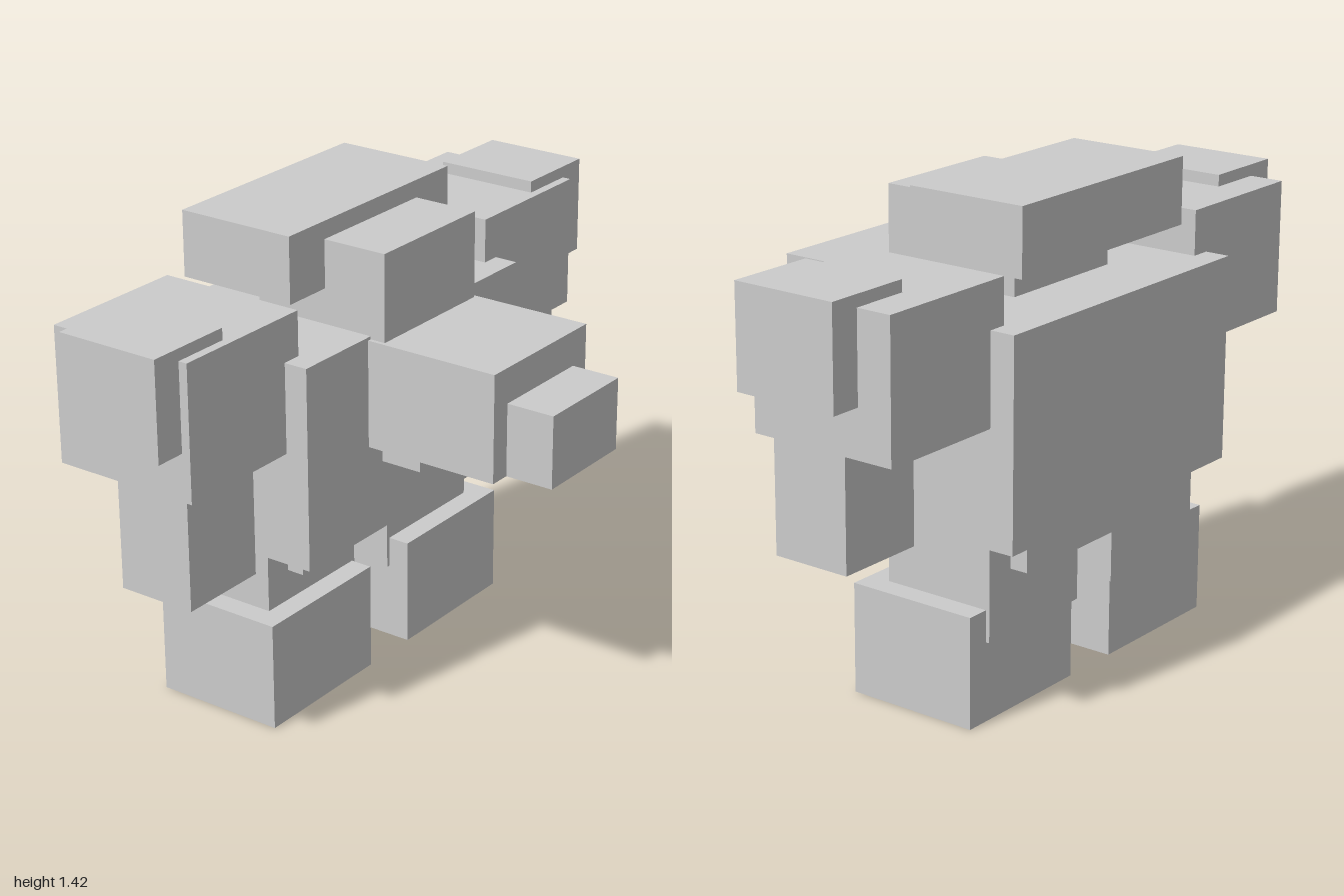
import * as THREE from 'three';

const material = new THREE.MeshStandardMaterial({ color: 0xcccccc, flatShading: true });

// Block given by its extents on each axis
function block(name, [x0, x1], [y0, y1], [z0, z1]) {
  const mesh = new THREE.Mesh(new THREE.BoxGeometry(x1 - x0, y1 - y0, z1 - z0), material);
  mesh.position.set((x0 + x1) / 2, (y0 + y1) / 2, (z0 + z1) / 2);
  mesh.name = name;
  return mesh;
}

export function createModel() {
  const model = new THREE.Group();
  model.name = 'blockFigure';

  // Body and head
  model.add(
    block('torso', [-0.507, 0.503], [0.51, 1.117], [-0.587, 0.02]),
    block('pelvis', [-0.395, 0.392], [0.42, 0.6], [-0.552, -0.093]),
    block('head', [-0.218, 0.215], [1.1, 1.367], [-0.37, 0.068]),
    block('headCrest', [-0.374, 0.37], [1.223, 1.42], [-0.511, -0.136]),
  );

  // Chest projection
  model.add(
    block('chestBlock', [-0.23, 0.226], [0.787, 1.108], [-0.02, 0.44]),
    block('chestTip', [-0.166, 0.162], [0.787, 1.003], [0.3, 0.588]),
    block('chestSupport', [-0.166, 0.162], [0.72, 0.9], [-0.05, 0.15]),
  );

  // Arms and legs, mirrored
  for (const side of [1, -1]) {
    const limb = (name, x, y, z) =>
      block((side > 0 ? 'left' : 'right') + name, side > 0 ? x : [-x[1], -x[0]], y, z);
    model.add(
      limb('Shoulder', [0.447, 0.907], [0.849, 1.25], [-0.511, -0.053]),
      limb('ShoulderPad', [0.73, 1], [0.99, 1.285], [-0.404, -0.08]),
      limb('Forearm', [0.604, 0.88], [0.51, 0.87], [-0.335, -0.093]),
      limb('Leg', [0.082, 0.484], [0.233, 0.56], [-0.496, -0.147]),
      limb('Foot', [0.093, 0.553], [0, 0.326], [-0.485, -0.08]),
    );
  }
  return model;
}
